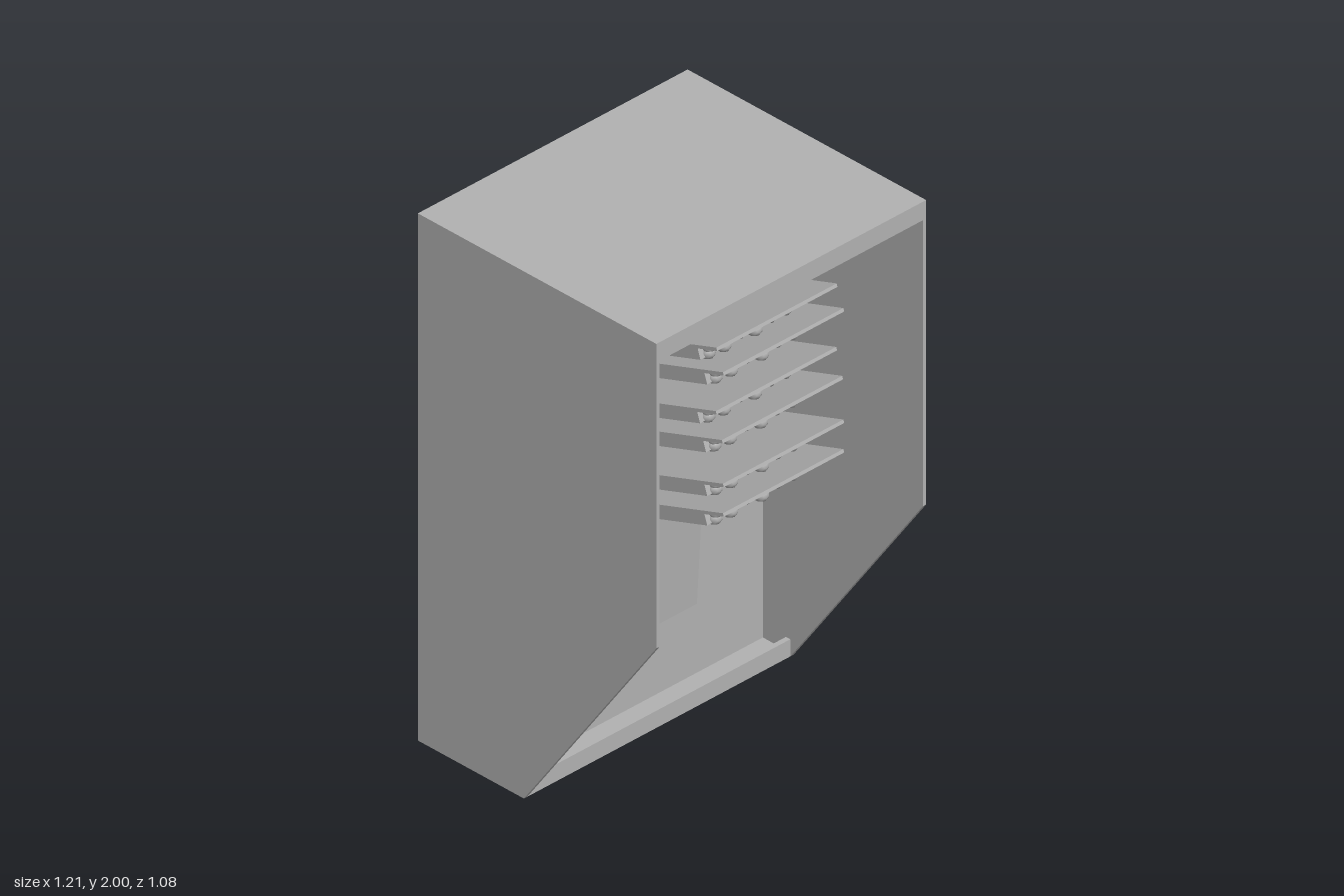
import * as THREE from 'three';

export function createModel() {
  const model = new THREE.Group();
  const grey = new THREE.MeshStandardMaterial({ color: 0xb2b2b2 });
  grey.name = 'plain grey';
  const facetedGrey = grey;

  // Box given by its minimum and maximum corners
  function box(parent, name, [x0, y0, z0], [x1, y1, z1]) {
    const geo = new THREE.BoxGeometry(x1 - x0, y1 - y0, z1 - z0);
    geo.translate((x0 + x1) / 2, (y0 + y1) / 2, (z0 + z1) / 2);
    const mesh = new THREE.Mesh(geo, grey);
    mesh.name = name;
    parent.add(mesh);
    return mesh;
  }

  const W = 0.605, BACK = -0.542, FRONT = 0.542, TOE = -0.06, T = 0.015;
  const inner = W - T;

  // Cabinet sides with the slanted lower front
  const profile = new THREE.Shape([
    [-BACK, 0], [-TOE, 0], [-FRONT, 0.845], [-FRONT, 2], [-BACK, 2],
  ].map(([u, v]) => new THREE.Vector2(u, v)));
  const sideGeo = new THREE.ExtrudeGeometry(profile, { depth: T, bevelEnabled: false });
  sideGeo.rotateY(Math.PI / 2); // profile u becomes -z, depth becomes +x
  for (const [name, x] of [['leftSide', inner], ['rightSide', -W]]) {
    const side = new THREE.Mesh(sideGeo, grey);
    side.name = name;
    side.position.x = x;
    model.add(side);
  }

  // Top, bottom, back and the two front lips
  box(model, 'topPanel', [-inner, 2 - T, BACK], [inner, 2, FRONT]);
  box(model, 'bottomPanel', [-inner, 0, BACK], [inner, T, TOE]);
  box(model, 'backPanel', [-inner, T, BACK], [inner, 2 - T, BACK + T]);
  box(model, 'topLip', [-inner, 1.93, FRONT - T], [inner, 2 - T, FRONT]);
  box(model, 'bottomLip', [-inner, T, TOE - 0.02], [inner, 0.065, TOE]);
  box(model, 'innerBackWall', [-inner, T, -0.2], [inner, 2 - T, -0.185]);

  // Stack of tilted shelves: [centre x, front edge height, hanging sheet centre x]
  const units = [
    [-0.025, 1.96, -0.015], [-0.025, 1.827, -0.015], [0.005, 1.72, 0.005],
    [-0.027, 1.587, -0.015], [0, 1.465, 0], [0.005, 1.297, -0.012], [0.005, 1.185, 0.0175],
  ];
  const tilt = THREE.MathUtils.degToRad(19);
  const ballGeo = new THREE.SphereGeometry(0.028, 8, 6);
  ballGeo.rotateX(Math.PI / 2);
  const lift = [0, -0.004, 0.012, -0.006, 0.01, 0.008];

  units.forEach(([x, y, sheetX], i) => {
    const shelf = new THREE.Group();
    shelf.name = `shelf${i + 1}`;
    shelf.position.set(x, y, 0.5);
    shelf.rotation.x = -tilt;
    model.add(shelf);
    box(shelf, 'shelfPlate', [-0.27, -0.012, -0.66], [0.27, 0, 0]);
    box(shelf, 'tray', [-0.217, -0.08, -0.66], [0.217, -0.012, -0.16]);

    // Two rows of balls along the tray front
    for (let row = 0; row < 2; row++) {
      for (let k = 0; k < 6; k++) {
        const ball = new THREE.Mesh(ballGeo, facetedGrey);
        ball.name = 'ball';
        ball.position.set(-0.174 + k * 0.069, -0.043 + lift[k] - row * 0.024, -0.155 - row * 0.012);
        shelf.add(ball);
      }
    }

    // Sheet hanging from the back of the tray
    const sheet = new THREE.Group();
    sheet.name = `hangingSheet${i + 1}`;
    sheet.position.set(sheetX, y - 0.285, -0.09);
    sheet.rotation.x = 0.06;
    box(sheet, 'sheet', [-0.217, -0.57, -0.012], [0.217, 0, 0]);
    model.add(sheet);
  });

  return model;
}
